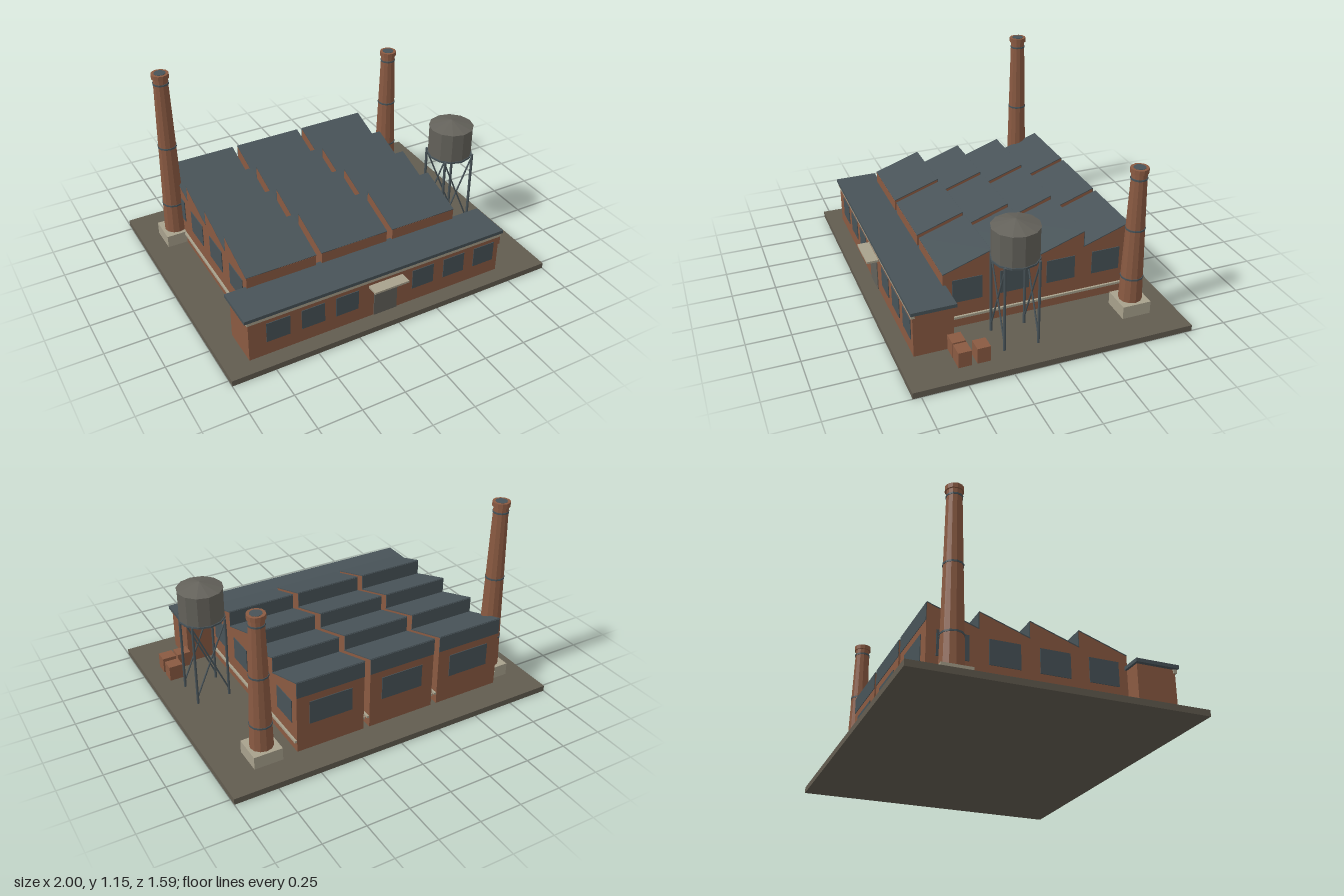
import * as THREE from 'three';

const mat = (name, color) => {
  const m = new THREE.MeshStandardMaterial({ color });
  m.name = name;
  return m;
};

export function createModel() {
  const brick = mat('brick', 0x8a5a42);
  const slate = mat('slate', 0x485358);
  const stone = mat('stone', 0xa8a18c);
  const concrete = mat('concrete', 0x625c50);
  const metal = mat('tankMetal', 0x63615a);

  const root = new THREE.Group();
  root.name = 'factory';
  const group = (name) => {
    const g = new THREE.Group();
    g.name = name;
    root.add(g);
    return g;
  };
  const add = (parent, name, geometry, material, x = 0, y = 0, z = 0) => {
    const m = new THREE.Mesh(geometry, material);
    m.name = name;
    m.position.set(x, y, z);
    parent.add(m);
    return m;
  };
  // Box given by its extents on each axis
  const box = (parent, name, material, [x0, x1], [y0, y1], [z0, z1]) =>
    add(parent, name, new THREE.BoxGeometry(x1 - x0, y1 - y0, z1 - z0), material,
      (x0 + x1) / 2, (y0 + y1) / 2, (z0 + z1) / 2);
  // Twelve-sided faceted drum between two heights
  const drum = (parent, name, material, rTop, rBottom, y0, y1, x, z) =>
    add(parent, name, new THREE.CylinderGeometry(rTop, rBottom, y1 - y0, 12).toNonIndexed(),
      material, x, (y0 + y1) / 2, z).geometry.computeVertexNormals();
  // Round bar between two points
  const bar = (parent, name, material, a, b, r) => {
    const p = new THREE.Vector3(...a), q = new THREE.Vector3(...b);
    const d = q.clone().sub(p);
    const m = add(parent, name, new THREE.CylinderGeometry(r, r, d.length(), 8), material);
    m.position.copy(p).add(q).multiplyScalar(0.5);
    m.quaternion.setFromUnitVectors(new THREE.Vector3(0, 1, 0), d.normalize());
  };

  const G = 0.035; // ground level
  box(root, 'groundSlab', concrete, [-1, 1], [0, G], [-0.795, 0.795]);

  // Three production halls with sawtooth roofs
  const zFront = 0.48, zBack = -0.62, eave = 0.38, ridge = 0.475, teeth = 4;
  const step = (zFront - zBack) / teeth;
  const profile = new THREE.Shape();
  profile.moveTo(-zFront, G);
  profile.lineTo(-zBack, G);
  for (let i = teeth - 1; i >= 0; i--) {
    profile.lineTo(-zFront + (i + 1) * step, ridge);
    profile.lineTo(-zFront + i * step, eave);
    if (i > 0) profile.lineTo(-zFront + i * step, eave + 0.0001);
  }
  profile.closePath();
  const halls = [[-0.76, -0.347], [-0.311, 0.101], [0.138, 0.55]];
  const slope = Math.atan2(ridge - eave, step);
  const slopeLength = Math.hypot(step, ridge - eave);
  halls.forEach(([x0, x1], h) => {
    const hall = group('hall' + (h + 1));
    const width = x1 - x0, cx = (x0 + x1) / 2;
    const walls = new THREE.ExtrudeGeometry(profile, { depth: width, bevelEnabled: false });
    walls.rotateY(Math.PI / 2);
    add(hall, 'hallWalls', walls, brick, x0);
    for (let i = 0; i < teeth; i++) {
      const z = zFront - (i + 0.5) * step;
      add(hall, 'roofSlope', new THREE.BoxGeometry(width + 0.004, 0.005, slopeLength), slate,
        cx, (eave + ridge) / 2 + 0.002, z).rotation.x = slope;
      box(hall, 'roofGlazing', slate, [x0, x1], [eave, ridge],
        [z - step / 2 - 0.003, z - step / 2 + 0.001]);
      // Windows on the outer side walls
      if (h === 0) box(hall, 'sideWindow', slate, [x0 - 0.004, x0 + 0.002], [0.195, 0.335], [z - 0.085, z + 0.085]);
      if (h === 2) box(hall, 'sideWindow', slate, [x1 - 0.002, x1 + 0.004], [0.195, 0.335], [z - 0.085, z + 0.085]);
    }
    box(hall, 'backWindow', slate, [cx - 0.13, cx + 0.13], [0.195, 0.335], [zBack - 0.004, zBack + 0.002]);
    box(hall, 'plinthTrim', stone, [x0 - 0.012, x1 + 0.012], [0.092, 0.106], [zBack + 0.004, zFront]);
  });

  // Front office wing
  const office = group('frontOffice');
  box(office, 'officeWalls', brick, [-0.86, 0.72], [G, 0.296], [0.478, 0.702]);
  box(office, 'officeRoof', slate, [-0.883, 0.737], [0.296, 0.316], [0.464, 0.714]);
  box(office, 'cornice', stone, [-0.868, 0.728], [0.275, 0.296], [0.69, 0.71]);
  for (const side of [-1, 1])
    for (const d of [0.241, 0.447, 0.653]) {
      const x = -0.036 + side * d;
      box(office, 'frontWindow', slate, [x - 0.069, x + 0.069], [0.122, 0.245], [0.7, 0.706]);
    }
  box(office, 'door', metal, [-0.11, 0.036], [G, 0.23], [0.7, 0.707]);
  box(office, 'doorCanopy', stone, [-0.145, 0.07], [0.238, 0.25], [0.7, 0.77]);

  // Tapered chimneys on stone footings
  const chimney = (name, x, z, top) => {
    const g = group(name);
    const y0 = 0.11, r0 = 0.066, r1 = 0.042, h = top - y0;
    const radiusAt = (y) => r0 + (r1 - r0) * (y - y0) / h;
    box(g, 'footing', stone, [x - 0.084, x + 0.084], [G, y0], [z - 0.084, z + 0.084]);
    drum(g, 'shaft', brick, r1, r0, y0, top - 0.01, x, z);
    drum(g, 'cap', brick, 0.051, 0.051, top - 0.027, top, x, z);
    drum(g, 'flueOpening', slate, 0.034, 0.034, top - 0.002, top + 0.002, x, z);
    for (const y of [y0 + h * 0.18, y0 + h * 0.553, top - 0.06]) {
      const r = radiusAt(y) + 0.003;
      drum(g, 'ironBand', slate, r, r, y - 0.005, y + 0.005, x, z);
    }
  };
  chimney('tallChimney', -0.797, -0.5, 1.152);
  chimney('shortChimney', 0.728, -0.555, 0.912);

  // Water tower
  const tower = group('waterTower');
  const tx = 0.742, tz = 0.146, s = 0.097;
  drum(tower, 'tank', metal, 0.129, 0.129, 0.54, 0.72, tx, tz);
  drum(tower, 'tankBase', slate, 0.134, 0.134, 0.53, 0.541, tx, tz);
  drum(tower, 'tankRoof', metal, 0.002, 0.133, 0.72, 0.757, tx, tz);
  for (const sz of [-s, s])
    for (const sx of [-s, s]) {
      bar(tower, 'leg', slate, [tx + sx, G, tz + sz], [tx + sx, 0.54, tz + sz], 0.008);
      bar(tower, 'crossBrace', slate, [tx + sx, 0.525, tz + sz], [tx - sx, 0.075, tz + sz], 0.005);
    }

  // Stacked crates in the yard
  const crates = group('crates');
  for (const [x, z] of [[0.76, 0.48], [0.853, 0.48], [0.853, 0.376]])
    box(crates, 'crate', brick, [x - 0.041, x + 0.041], [G, 0.126], [z - 0.037, z + 0.037]);

  return root;
}
